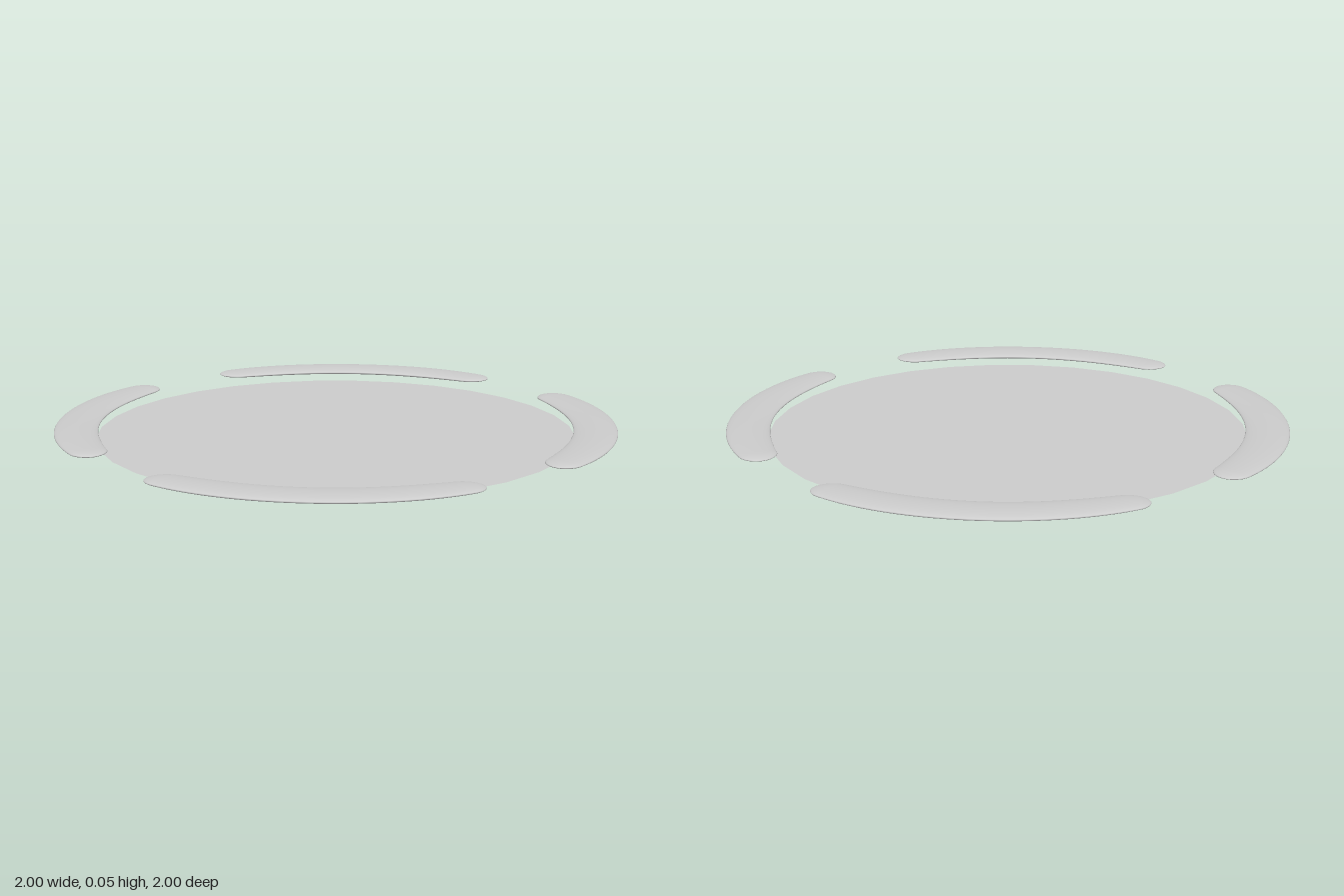
import * as THREE from 'three';
import { mergeVertices } from 'three/addons/utils/BufferGeometryUtils.js';

const RADIUS = 0.96;       // centre line of the rim pads
const HALF_LENGTH = 0.586; // along the arc
const CAP = 0.065;         // length of the rounded end

// Sphere stretched along an arc: flat oval section, slimmer towards rounded ends
function padGeometry() {
  const geo = new THREE.SphereGeometry(1, 32, 64);
  geo.deleteAttribute('uv');
  geo.deleteAttribute('normal');
  const pos = geo.attributes.position;
  for (let i = 0; i < pos.count; i++) {
    const x = pos.getX(i), z = pos.getZ(i);
    const s = THREE.MathUtils.clamp(pos.getY(i), -1, 1);
    const ring = Math.max(Math.hypot(x, z), 1e-9);
    const end = Math.min(1, HALF_LENGTH * (1 - Math.abs(s)) / CAP);
    const cap = ring < 1e-6 ? 0 : Math.sqrt(1 - (1 - end) ** 2);
    const taper = s ** 4;
    const r = RADIUS + 0.005 * taper + (0.081 - 0.02 * taper) * cap * x / ring;
    const h = (0.013 - 0.004 * taper) * cap * z / ring;
    const a = Math.PI / 4 + s * HALF_LENGTH / RADIUS;
    pos.setXYZ(i, r * Math.cos(a), -h, r * Math.sin(a));
  }
  const merged = mergeVertices(geo, 1e-5);
  merged.computeVertexNormals();
  return merged;
}

export function createModel() {
  const model = new THREE.Group();
  const material = new THREE.MeshStandardMaterial({ color: 0xcccccc });

  // Thin flat base
  const disc = new THREE.Mesh(
    new THREE.CircleGeometry(0.89, 32).rotateX(-Math.PI / 2),
    new THREE.MeshStandardMaterial({ color: 0xcccccc, side: THREE.DoubleSide })
  );
  disc.name = 'baseDisc';
  model.add(disc);

  // Four curved pads floating just above the rim
  const geo = padGeometry();
  ['frontLeftPad', 'backLeftPad', 'backRightPad', 'frontRightPad'].forEach((name, i) => {
    const pad = new THREE.Mesh(geo, material);
    pad.name = name;
    pad.position.y = 0.035;
    pad.rotation.y = i * Math.PI / 2;
    model.add(pad);
  });
  return model;
}
